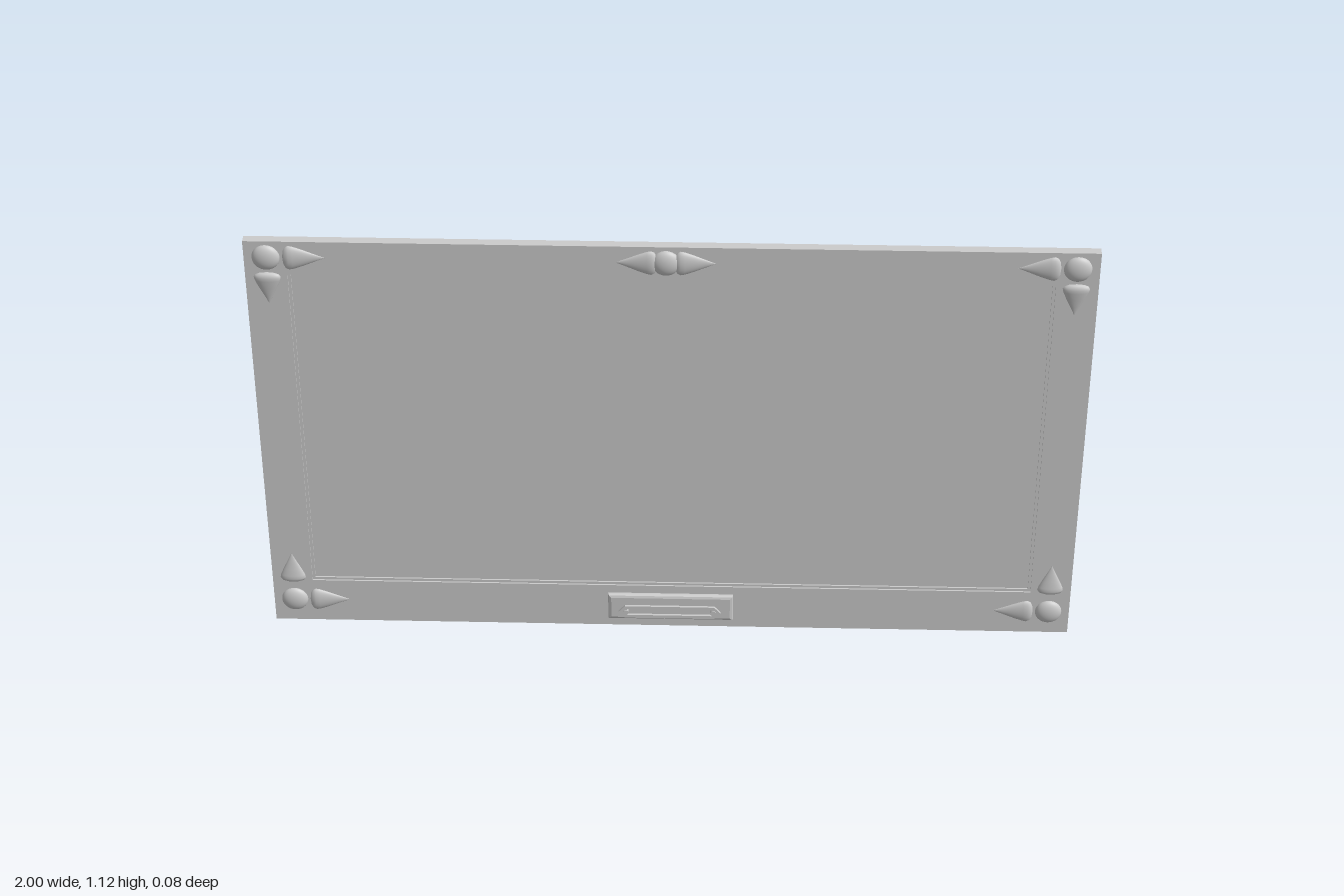
import * as THREE from 'three';

const mat = new THREE.MeshStandardMaterial({ color: 0xcccccc, side: THREE.DoubleSide });

function polygon(points, Type = THREE.Shape) {
  return new Type(points.map(([x, y]) => new THREE.Vector2(x, y)));
}

function rect(x, y0, y1) {
  return [[-x, y0], [x, y0], [x, y1], [-x, y1]];
}

export function createModel() {
  const model = new THREE.Group();
  const add = (name, geometry, x, y, z, parent = model) => {
    const mesh = new THREE.Mesh(geometry, mat);
    mesh.name = name;
    mesh.position.set(x, y, z);
    parent.add(mesh);
    return mesh;
  };

  // Thin back panel, whose front is the recessed screen
  add('backPanel', new THREE.BoxGeometry(2, 1.12, 0.016), 0, 0.56, -0.008);

  // Raised border around the screen
  const border = polygon(rect(1, 0, 1.12));
  border.holes.push(polygon(rect(0.9, 0.125, 1.035).reverse(), THREE.Path));
  add('frame', new THREE.ExtrudeGeometry(border, { depth: 0.008, bevelEnabled: false }), 0, 0, 0);

  // Slim moulding just inside the opening
  const lip = polygon(rect(0.9, 0.125, 1.035));
  lip.holes.push(polygon(rect(0.893, 0.132, 1.028).reverse(), THREE.Path));
  add('innerLip', new THREE.ExtrudeGeometry(lip, { depth: 0.004, bevelEnabled: false }), 0, 0, 0);

  // Ornaments: flattened domes with pointed leaves beside them
  const domeGeo = new THREE.SphereGeometry(0.033, 28, 18).scale(1, 1, 0.48);
  const leafProfile = [[0, 0], [0.018, 0.002], [0.028, 0.007], [0.032, 0.015], [0.03, 0.025],
    [0.022, 0.047], [0.011, 0.073], [0, 0.1]].map(([r, h]) => new THREE.Vector2(r, h));
  const leafGeo = new THREE.LatheGeometry(leafProfile, 28).scale(1, 1, 0.36);

  // A leaf starts at (x, y) and points along the given angle from +y
  const leaf = (x, y, angle, length, parent) => {
    const mesh = add('leaf', leafGeo, x, y, 0.008, parent);
    mesh.rotation.z = angle;
    mesh.scale.y = length / 0.1;
  };

  for (const sx of [-1, 1]) {
    for (const top of [false, true]) {
      const corner = new THREE.Group();
      corner.name = 'cornerOrnament';
      model.add(corner);
      const y = top ? 1.077 : 0.066;
      add('dome', domeGeo, sx * 0.948, y, 0.008, corner);
      leaf(sx * 0.909, y, sx * Math.PI / 2, 0.1, corner);
      leaf(sx * 0.948, top ? 1.036 : 0.122, top ? Math.PI : 0, 0.086, corner);
    }
  }

  const crest = new THREE.Group();
  crest.name = 'topOrnament';
  model.add(crest);
  add('dome', domeGeo, -0.011, 1.077, 0.008, crest);
  for (const s of [-1, 1]) leaf(-0.011 + s * 0.02, 1.077, -s * Math.PI / 2, 0.098, crest);

  // Bevelled block passing through the lower border
  const blockGeo = new THREE.ExtrudeGeometry(polygon(rect(0.149, -0.03, 0.03)), {
    depth: 0.044, bevelThickness: 0.008, bevelSize: 0.008, bevelSegments: 2,
  });
  add('plaqueBlock', blockGeo, 0, 0.064, -0.032);

  // Slender ring with pointed ends in front of the block
  const ring = polygon([[-0.128, 0], [-0.112, -0.018], [0.112, -0.018],
    [0.128, 0], [0.112, 0.018], [-0.112, 0.018]]);
  ring.holes.push(polygon([[-0.115, 0], [-0.105, 0.009], [0.105, 0.009],
    [0.115, 0], [0.105, -0.009], [-0.105, -0.009]], THREE.Path));
  add('plaqueRing', new THREE.ExtrudeGeometry(ring, { depth: 0.006, bevelEnabled: false }), -0.002, 0.064, 0.032);

  // Small pins at both ends of the ring
  const pinGeo = new THREE.CylinderGeometry(0.007, 0.007, 0.022, 16).rotateX(Math.PI / 2);
  for (const s of [-1, 1]) add('ringPin', pinGeo, -0.002 + s * 0.11, 0.064, 0.029);

  return model;
}
